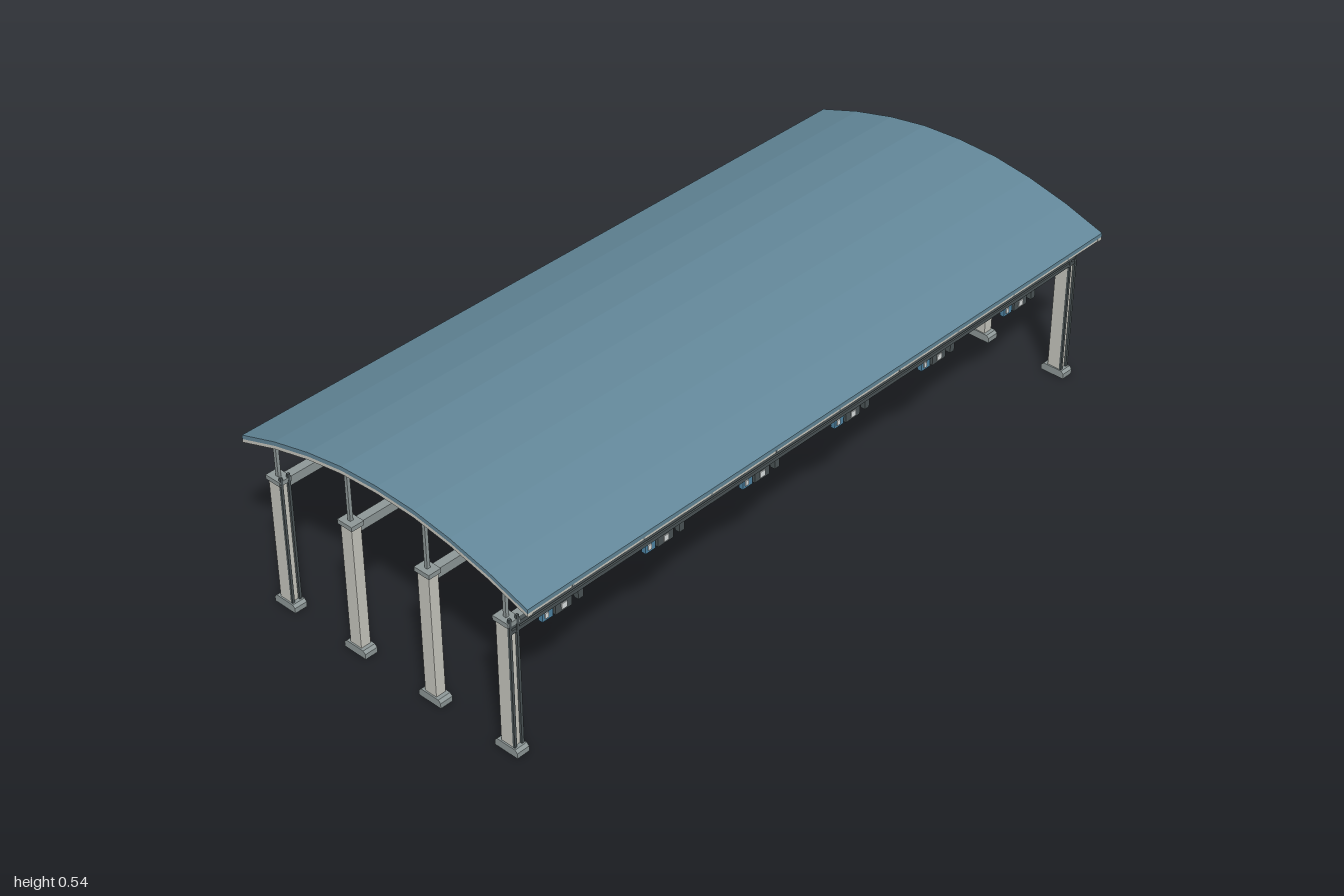
import * as THREE from 'three';

const mat = (name, color, side = THREE.FrontSide) => {
  const m = new THREE.MeshStandardMaterial({ color, side });
  m.name = name;
  return m;
};

// Half profile of the roof: distance from the ridge, height of the upper surface
const PROFILE = [[0, 0.535], [0.115, 0.53], [0.225, 0.513], [0.34, 0.485], [0.455, 0.447]];
const ROWS = [0.367, 0.125, -0.122, -0.363];
const COLUMN_X = 0.98;

// Height of the roof's upper surface at z
function roofY(z) {
  const d = Math.abs(z);
  for (let i = 1; i < PROFILE.length; i++) {
    const [a, ya] = PROFILE[i - 1], [b, yb] = PROFILE[i];
    if (d <= b) return ya + ((yb - ya) * (d - a)) / (b - a);
  }
  return PROFILE[4][1];
}

// Arched slab between two x positions, lying between two depths under the roof surface
function arch(x0, x1, upper, lower) {
  const full = [...PROFILE.slice(1).reverse().map(([z, y]) => [-z, y]), ...PROFILE];
  const pts = [
    ...full.map(([z, y]) => new THREE.Vector2(z, y - lower)),
    ...full.reverse().map(([z, y]) => new THREE.Vector2(z, y - upper)),
  ];
  const g = new THREE.ExtrudeGeometry(new THREE.Shape(pts), { depth: x1 - x0, bevelEnabled: false });
  return g.rotateY(Math.PI / 2).translate(x0, 0, 0);
}

export function createModel() {
  const root = new THREE.Group();
  root.name = 'canopy';
  const blue = mat('roofBlue', 0x64899b);
  const cream = mat('paleConcrete', 0xc9c9c1);
  const grey = mat('steelGrey', 0x8f9999);
  const dark = mat('darkSteel', 0x4b5456);
  const signBlue = mat('signBlue', 0x4f86a6);
  const white = mat('signWhite', 0xdfe4e4);

  const add = (parent, name, geometry, material) => {
    const m = new THREE.Mesh(geometry, material);
    m.name = name;
    parent.add(m);
    return m;
  };
  const box = (parent, name, material, w, h, d, x, y, z) => {
    const m = add(parent, name, new THREE.BoxGeometry(w, h, d), material);
    m.position.set(x, y, z);
    return m;
  };
  // Square bar between two points in a plane of constant z
  const bar = (parent, name, material, size, x0, y0, x1, y1, z) => {
    const m = box(parent, name, material, Math.hypot(x1 - x0, y1 - y0), size, size,
      (x0 + x1) / 2, (y0 + y1) / 2, z);
    m.rotation.z = Math.atan2(y1 - y0, x1 - x0);
  };

  // Roof skin, end trims and ribs
  const roof = new THREE.Group();
  roof.name = 'roof';
  root.add(roof);
  add(roof, 'roofSkin', arch(-1, 1, 0, 0.011), blue);
  add(roof, 'endTrim', arch(-1, -0.985, 0.011, 0.02), cream);
  add(roof, 'endTrim', arch(0.985, 1, 0.011, 0.02), cream);
  for (let i = 0; i < 9; i++) {
    const x = -0.865 + i * 0.216;
    add(roof, 'roofRib', arch(x - 0.003, x + 0.003, 0.011, 0.018), grey);
  }
  // Eave trims and purlins along the length
  for (const s of [-1, 1]) {
    box(roof, 'eaveTrim', cream, 1.97, 0.009, 0.012, 0, 0.433, s * 0.448);
    for (const z of [0.06, 0.17, 0.285, 0.4]) {
      box(roof, 'purlin', grey, 1.97, 0.007, 0.005, 0, roofY(z) - 0.0145, s * z);
    }
  }

  // Lamps hung under the roof in two rows
  for (const [z, y] of [[0.18, 0.494], [-0.215, 0.487]]) {
    for (let i = 0; i < 6; i++) {
      const x = -0.82 + i * 0.328;
      box(roof, 'lamp', grey, 0.07, 0.011, 0.018, x, y, z);
      box(roof, 'lampHanger', dark, 0.008, 0.02, 0.006, x, y + 0.01, z);
    }
  }

  // Chamfered column foot
  const foot = new THREE.Shape();
  foot.moveTo(-0.035, 0);
  foot.lineTo(0.035, 0);
  foot.lineTo(0.035, 0.014);
  foot.lineTo(0.028, 0.021);
  foot.lineTo(-0.028, 0.021);
  foot.lineTo(-0.035, 0.014);
  const footGeometry = new THREE.ExtrudeGeometry(foot, { depth: 0.036, bevelEnabled: false });
  footGeometry.translate(0, 0, -0.018).rotateY(Math.PI / 2);

  ROWS.forEach((z, r) => {
    const row = new THREE.Group();
    row.name = 'columnRow';
    root.add(row);
    const outer = r === 0 || r === 3;

    // Columns at both ends
    for (const x of [-COLUMN_X, COLUMN_X]) {
      add(row, 'columnFoot', footGeometry, grey).position.set(x, 0, z);
      box(row, 'column', cream, 0.028, 0.34, 0.036, x, 0.19, z);
      box(row, 'columnCap', grey, 0.036, 0.012, 0.047, x, 0.364, z);
      if (outer) {
        for (const s of [-1, 1]) {
          box(row, 'columnRail', dark, 0.007, 0.36, 0.006, x + s * 0.011, 0.2, z + 0.021);
        }
      }
    }

    // Longitudinal beam, with dark rails on the front row
    box(row, 'beam', grey, 1.95, 0.025, 0.024, 0, 0.3475, z);
    if (r === 0) {
      box(row, 'beamRail', dark, 1.98, 0.01, 0.012, 0, 0.355, z + 0.017);
      box(row, 'beamRail', dark, 1.98, 0.01, 0.012, 0, 0.34, z + 0.017);
    }

    // Posts and fanned struts up to the roof
    const top = roofY(z) - 0.012;
    for (let i = 0; i < 9; i++) {
      const x = -COLUMN_X + i * 0.245;
      box(row, 'post', grey, 0.009, top - 0.355, 0.009, x, (top + 0.355) / 2, z);
      if (i % 2 === 1) {
        for (const s of [-1, 1]) {
          bar(row, 'strut', grey, 0.007, x, 0.36, x + s * 0.245, top - 0.004, z);
        }
      }
    }
  });

  // Lane signs hung below the front beam
  for (const x of [-0.842, -0.522, -0.202, 0.118, 0.438, 0.758]) {
    const sign = new THREE.Group();
    sign.name = 'laneSign';
    sign.position.set(x, 0.32, 0.377);
    root.add(sign);
    box(sign, 'bluePanel', signBlue, 0.032, 0.028, 0.012, -0.032, 0, 0);
    box(sign, 'bluePanelMark', white, 0.01, 0.014, 0.003, -0.036, 0, 0.007);
    box(sign, 'signalBox', dark, 0.05, 0.028, 0.018, 0.014, 0, 0);
    box(sign, 'signalFace', white, 0.016, 0.016, 0.003, 0.014, 0, 0.01);
    box(sign, 'smallBox', dark, 0.016, 0.028, 0.014, 0.068, 0, 0);
    for (const dx of [-0.032, 0.014, 0.068]) {
      box(sign, 'signHanger', dark, 0.006, 0.012, 0.006, dx, 0.017, 0);
    }
  }
  return root;
}
